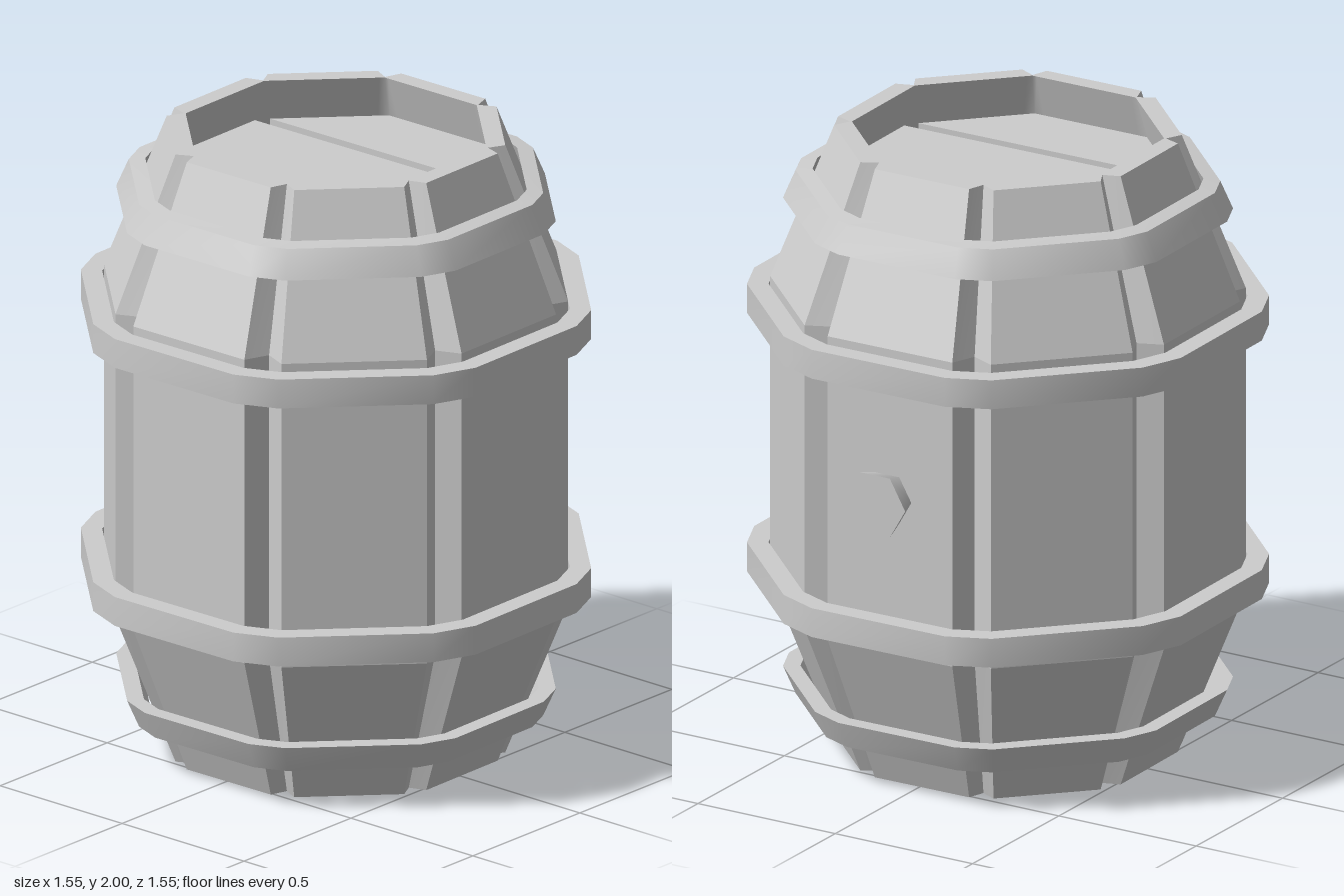
import * as THREE from 'three';
import { toCreasedNormals } from 'three/addons/utils/BufferGeometryUtils.js';

const corner = Math.tan(Math.PI / 8);

// Eight-sided loop: a = distance to each flat, hw = half width of a flat,
// notch = distance to the flats of the octagon holding the groove bottoms (omit for a plain bevel)
function loop(y, a, hw, notch) {
  const pts = [];
  for (let i = 0; i < 8; i++) {
    const t = (i * Math.PI) / 4, s = Math.sin(t), c = Math.cos(t);
    const add = (u, r) => pts.push([u * c + r * s, y, r * c - u * s]);
    add(-hw, a);
    add(hw, a);
    if (notch !== undefined) add(notch * corner, notch);
  }
  return pts;
}

// Joins successive loops with quads
function loft(loops, crease) {
  const pos = [];
  for (let i = 0; i + 1 < loops.length; i++) {
    const n = loops[i].length;
    for (let k = 0; k < n; k++) {
      const m = (k + 1) % n;
      const [a, b, c, d] = [loops[i][k], loops[i][m], loops[i + 1][m], loops[i + 1][k]];
      pos.push(...a, ...b, ...c, ...a, ...c, ...d);
    }
  }
  const g = new THREE.BufferGeometry();
  g.setAttribute('position', new THREE.Float32BufferAttribute(pos, 3));
  return toCreasedNormals(g, crease);
}

export function createModel() {
  const model = new THREE.Group();
  model.name = 'barrel';
  const barrel = new THREE.Group();
  barrel.name = 'barrelBody';
  barrel.rotation.y = 0.015;
  model.add(barrel);

  const grey = new THREE.MeshStandardMaterial({ color: 0xcccccc });
  grey.name = 'grey';
  const add = (name, geometry, parent = barrel) => {
    const mesh = new THREE.Mesh(geometry, grey);
    mesh.name = name;
    parent.add(mesh);
    return mesh;
  };

  // Staves with V grooves between them, bulging to a straight middle
  add('staves', loft([
    loop(0, 0.45, 0.17, 0.45),
    loop(0, 0.51, 0.17, 0.455),
    loop(0.5, 0.7, 0.225, 0.62),
    loop(1.5, 0.7, 0.225, 0.62),
    loop(2, 0.51, 0.17, 0.455),
    loop(2, 0.45, 0.17, 0.45),
  ], 0.1));

  // Inside of the rims, down to the lids
  const lidY = 1.86, lidA = 0.49;
  add('topRimInside', loft([loop(2, 0.45, 0.17, 0.45), loop(lidY - 0.03, 0.5, 0.17, 0.5)], 0.9));
  add('bottomRimInside', loft([loop(2 - lidY + 0.03, 0.5, 0.17, 0.5), loop(0, 0.45, 0.17, 0.45)], 0.9));

  // Hoops: closed cross-section of [y, distance, half width]
  const hoop = (name, section) =>
    add(name, loft([...section, section[0]].map((p) => loop(...p)), 0.7));
  for (const [name, y] of [['lowerMiddleHoop', 0.53], ['upperMiddleHoop', 1.38]]) {
    hoop(name, [[y, 0.705, 0.225], [y, 0.77, 0.24], [y + 0.095, 0.77, 0.24], [y + 0.095, 0.705, 0.225]]);
  }
  const end = [[1.76, 0.61, 0.2], [1.76, 0.663, 0.21], [1.85, 0.625, 0.2], [1.857, 0.575, 0.185]];
  hoop('topHoop', end);
  hoop('bottomHoop', end.map(([y, a, w]) => [2 - y - 0.02, a, w]).reverse());

  // Lids: three planks over a backing board
  const planks = {
    backing: [[corner * lidA, lidA], [lidA, corner * lidA], [lidA, -corner * lidA], [corner * lidA, -lidA],
      [-corner * lidA, -lidA], [-lidA, -corner * lidA], [-lidA, corner * lidA], [-corner * lidA, lidA]],
    middlePlank: [[-0.19, lidA], [0.19, lidA], [0.19, -lidA], [-0.19, -lidA]],
  };
  const zSide = lidA * (1 + corner) - 0.23;
  for (const s of [1, -1]) {
    planks[s > 0 ? 'leftPlank' : 'rightPlank'] =
      [[0.23, zSide], [lidA, corner * lidA], [lidA, -corner * lidA], [0.23, -zSide]].map(([x, z]) => [s * x, z]);
  }
  for (const top of [true, false]) {
    const lid = new THREE.Group();
    lid.name = top ? 'topLid' : 'bottomLid';
    lid.position.y = top ? lidY : 2 - lidY;
    if (!top) lid.rotation.z = Math.PI;
    barrel.add(lid);
    for (const [name, pts] of Object.entries(planks)) {
      const shape = new THREE.Shape(pts.map((p) => new THREE.Vector2(...p)));
      const g = new THREE.ExtrudeGeometry(shape, { depth: 0.025, bevelEnabled: false });
      g.rotateX(-Math.PI / 2);
      g.translate(0, name === 'backing' ? -0.05 : -0.025, 0);
      add(name, g, lid);
    }
  }

  // Bung on the left side, widening outward
  const bung = new THREE.CylinderGeometry(0.112, 0.084, 0.085, 6);
  bung.rotateZ(-Math.PI / 2);
  bung.translate(0.7305, 1.01, 0);
  add('bung', bung, model);

  return model;
}
